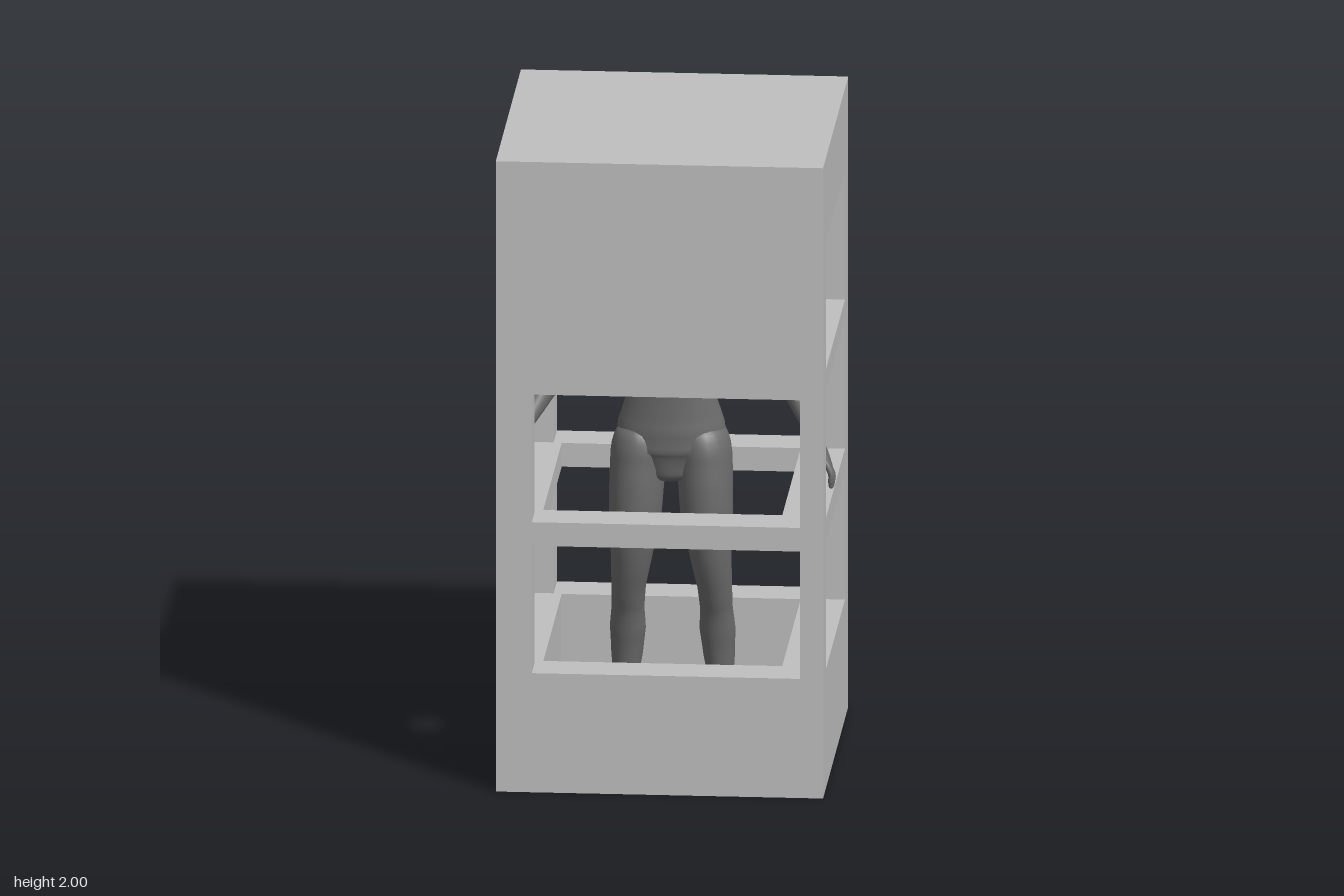
import * as THREE from 'three';

const caseGrey = new THREE.MeshStandardMaterial({ color: 0xc0c0c0 });
caseGrey.name = 'light grey case';
const figureGrey = new THREE.MeshStandardMaterial({ color: 0x6c6c6c });
figureGrey.name = 'dark grey figure';

// Smooth skin over elliptical sections [x, y, z, halfWidth, halfDepth] set across the path.
function loft(name, rings, side = 1, sides = 24, steps = 4) {
  const pts = rings.map(r => new THREE.Vector3(r[0] * side, r[1], r[2]));
  const path = new THREE.CatmullRomCurve3(pts, false, 'centripetal');
  const n = (rings.length - 1) * steps;
  const pos = [], idx = [];
  for (let i = 0; i <= n; i++) {
    const k = Math.min(Math.floor(i / steps), rings.length - 2);
    const f = i / steps - k;
    const p = path.getPoint(i / n), t = path.getTangent(i / n);
    const u = new THREE.Vector3(1, 0, 0).addScaledVector(t, -t.x).normalize();
    const w = new THREE.Vector3().crossVectors(t, u);
    // ease the radii between sections without overshoot
    const e = k === 0 ? Math.sqrt(f * (2 - f)) : k === rings.length - 2 ? 1 - Math.sqrt(1 - f * f) : f;
    const rx = THREE.MathUtils.lerp(rings[k][3], rings[k + 1][3], e);
    const rz = THREE.MathUtils.lerp(rings[k][4], rings[k + 1][4], e);
    for (let j = 0; j < sides; j++) {
      const a = (j / sides) * Math.PI * 2;
      const v = p.clone().addScaledVector(u, Math.cos(a) * rx).addScaledVector(w, Math.sin(a) * rz);
      pos.push(v.x, v.y, v.z);
      if (i < n) {
        const a0 = i * sides + j, a1 = i * sides + (j + 1) % sides;
        idx.push(a0, a1, a0 + sides, a1, a1 + sides, a0 + sides);
      }
    }
  }
  const geo = new THREE.BufferGeometry();
  geo.setAttribute('position', new THREE.Float32BufferAttribute(pos, 3));
  geo.setIndex(idx);
  geo.computeVertexNormals();
  const mesh = new THREE.Mesh(geo, figureGrey);
  mesh.name = name;
  return mesh;
}

function ball(name, x, y, z, rx, ry, rz) {
  const mesh = new THREE.Mesh(new THREE.SphereGeometry(1, 24, 16), figureGrey);
  mesh.scale.set(rx, ry, rz);
  mesh.position.set(x, y, z);
  mesh.name = name;
  return mesh;
}

// Block between two corners
function block(name, x0, x1, y0, y1, z0, z1) {
  const mesh = new THREE.Mesh(new THREE.BoxGeometry(x1 - x0, y1 - y0, z1 - z0), caseGrey);
  mesh.position.set((x0 + x1) / 2, (y0 + y1) / 2, (z0 + z1) / 2);
  mesh.name = name;
  return mesh;
}

// Square band around the hollow
function band(name, y0, y1) {
  const square = (P, h) => new P([[-h, -h], [h, -h], [h, h], [-h, h]].map(p => new THREE.Vector2(...p)));
  const shape = square(THREE.Shape, 0.5);
  shape.holes.push(square(THREE.Path, 0.365));
  const geo = new THREE.ExtrudeGeometry(shape, { depth: y1 - y0, bevelEnabled: false });
  geo.rotateX(-Math.PI / 2);
  const mesh = new THREE.Mesh(geo, caseGrey);
  mesh.position.y = y0;
  mesh.name = name;
  return mesh;
}

function createCase() {
  const g = new THREE.Group();
  g.name = 'displayCase';
  g.add(block('floor', -0.5, 0.5, 0, 0.06, -0.5, 0.5), block('roof', -0.5, 0.5, 1.93, 2, -0.5, 0.5));
  g.add(band('baseWalls', 0.06, 0.378), band('lowerRail', 0.782, 0.857),
    band('upperRail', 1.262, 1.33), band('headerWalls', 1.737, 1.93));
  // corner posts beside the windows open on all four sides
  for (const [y0, y1] of [[0.378, 0.782], [0.857, 1.262]])
    for (const [x0, x1] of [[-0.5, -0.39], [0.43, 0.5]])
      for (const [z0, z1] of [[-0.5, -0.37], [0.39, 0.5]])
        g.add(block('cornerPost', x0, x1, y0, y1, z0, z1));
  // closed front and back beside the top side windows
  g.add(block('upperFrontWall', -0.5, 0.5, 1.33, 1.737, 0.39, 0.5));
  g.add(block('upperBackWall', -0.5, 0.5, 1.33, 1.737, -0.5, -0.37));
  return g;
}

function createFigure() {
  const g = new THREE.Group();
  g.name = 'figure';
  g.add(loft('head', [
    [0, 1.845, 0.01, 0.002, 0.002], [0, 1.79, 0.01, 0.068, 0.095], [0, 1.73, 0.015, 0.078, 0.112],
    [0, 1.67, 0.045, 0.068, 0.084], [0, 1.625, 0.07, 0.05, 0.055], [0, 1.6, 0.085, 0.032, 0.03],
    [0, 1.585, 0.09, 0.002, 0.002]]));
  g.add(loft('neck', [
    [0, 1.7, -0.01, 0.03, 0.03], [0, 1.64, -0.015, 0.046, 0.045], [0, 1.58, -0.025, 0.046, 0.042],
    [0, 1.53, -0.035, 0.065, 0.052], [0, 1.49, -0.035, 0.07, 0.05]]));
  g.add(loft('torso', [
    [0, 1.555, -0.04, 0.03, 0.03], [0, 1.525, -0.04, 0.125, 0.052], [0, 1.46, -0.02, 0.15, 0.085],
    [0, 1.38, 0.01, 0.142, 0.108], [0, 1.3, 0.03, 0.125, 0.088], [0, 1.22, 0.04, 0.112, 0.078],
    [0, 1.14, 0.035, 0.135, 0.085], [0, 1.05, 0.02, 0.163, 0.105], [0, 0.97, 0.015, 0.172, 0.108],
    [0, 0.91, 0.02, 0.1, 0.085], [0, 0.865, 0.02, 0.01, 0.03]], 1, 32));

  for (const s of [1, -1]) {
    const side = s > 0 ? 'left' : 'right';
    g.add(ball(side + 'Chest', s * 0.072, 1.39, 0.08, 0.066, 0.066, 0.066));
    g.add(ball(side + 'Buttock', s * 0.085, 0.98, -0.025, 0.085, 0.095, 0.078));
    g.add(ball(side + 'Shoulder', s * 0.185, 1.495, -0.035, 0.055, 0.055, 0.055));
    g.add(loft(side + 'Leg', [
      [0.09, 1.05, 0.02, 0.04, 0.06], [0.1, 0.95, 0.02, 0.086, 0.106], [0.105, 0.86, 0.033, 0.084, 0.098],
      [0.109, 0.77, 0.04, 0.081, 0.09], [0.12, 0.64, 0.034, 0.065, 0.074], [0.131, 0.53, 0.015, 0.053, 0.057],
      [0.135, 0.45, -0.01, 0.05, 0.052], [0.137, 0.38, -0.028, 0.055, 0.053], [0.141, 0.29, -0.045, 0.048, 0.05],
      [0.15, 0.15, -0.05, 0.03, 0.034], [0.155, 0.07, -0.05, 0.032, 0.036], [0.156, 0.03, -0.05, 0.02, 0.02]], s));
    g.add(loft(side + 'Foot', [
      [0.154, 0.036, -0.095, 0.003, 0.003], [0.157, 0.036, -0.06, 0.033, 0.035], [0.163, 0.034, 0, 0.037, 0.033],
      [0.172, 0.025, 0.07, 0.044, 0.024], [0.178, 0.018, 0.12, 0.036, 0.016], [0.182, 0.014, 0.145, 0.003, 0.003]], s));
    g.add(loft(side + 'UpperArm', [
      [0.18, 1.53, -0.035, 0.01, 0.01], [0.2, 1.48, -0.035, 0.05, 0.055], [0.245, 1.4, -0.03, 0.047, 0.052],
      [0.29, 1.31, -0.02, 0.041, 0.044], [0.33, 1.235, -0.01, 0.037, 0.04], [0.345, 1.205, 0, 0.02, 0.02]], s));
    g.add(loft(side + 'Forearm', [
      [0.32, 1.255, -0.015, 0.02, 0.02], [0.345, 1.215, 0.005, 0.038, 0.042], [0.385, 1.15, 0.055, 0.036, 0.041],
      [0.42, 1.09, 0.105, 0.027, 0.03], [0.45, 1.045, 0.145, 0.021, 0.024], [0.456, 1.035, 0.152, 0.01, 0.01]], s));
    // hand with four fingers and a thumb
    g.add(loft(side + 'Palm', [
      [0.446, 1.05, 0.14, 0.01, 0.015], [0.458, 1.03, 0.155, 0.018, 0.028], [0.475, 1.0, 0.178, 0.018, 0.042],
      [0.49, 0.97, 0.195, 0.015, 0.042], [0.497, 0.955, 0.2, 0.004, 0.025]], s, 16));
    for (let i = 0; i < 4; i++) {
      const z = 0.165 + i * 0.021, y = 0.962 + i * 0.007, len = [0.05, 0.062, 0.066, 0.055][i];
      g.add(loft(side + 'Finger', [
        [0.485, y + 0.01, z, 0.004, 0.004], [0.494, y - 0.008, z + 0.003, 0.01, 0.01],
        [0.504, y - len * 0.55, z + 0.007, 0.0095, 0.0095], [0.503, y - len, z + 0.01, 0.008, 0.008],
        [0.501, y - len - 0.008, z + 0.01, 0.001, 0.001]], s, 10, 3));
    }
    g.add(loft(side + 'Thumb', [
      [0.458, 1.02, 0.175, 0.006, 0.006], [0.46, 1.0, 0.205, 0.013, 0.013], [0.462, 0.975, 0.228, 0.011, 0.011],
      [0.464, 0.945, 0.24, 0.009, 0.009], [0.465, 0.935, 0.243, 0.001, 0.001]], s, 10, 3));
  }
  return g;
}

export function createModel() {
  const model = new THREE.Group();
  model.name = 'figureInWindowedCase';
  model.add(createCase(), createFigure());
  return model;
}
